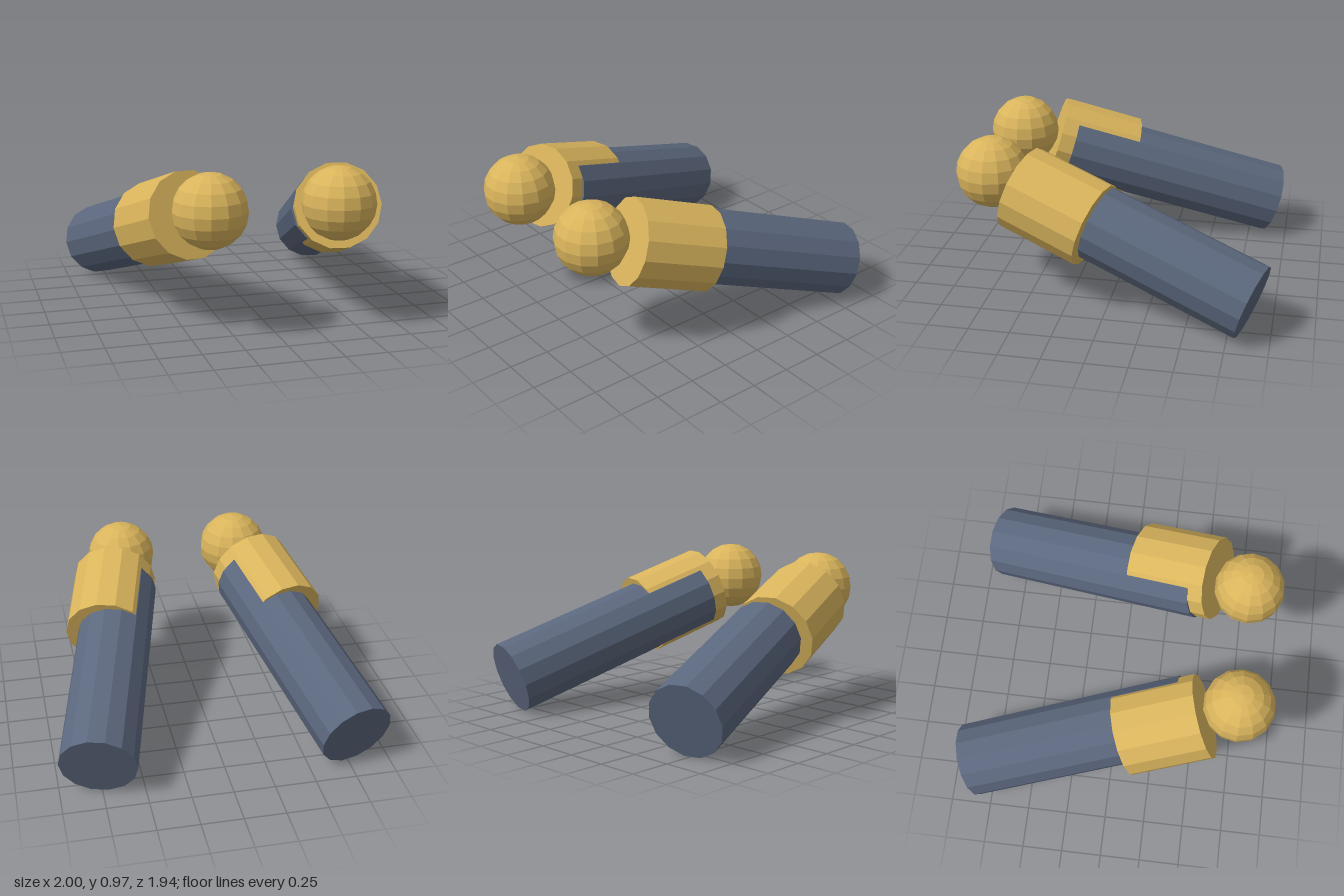
import * as THREE from 'three';

const gold = new THREE.MeshStandardMaterial({ color: 0xd9b45c });
gold.name = 'warm gold';
gold.flatShading = true;
const slate = new THREE.MeshStandardMaterial({ color: 0x5b677d });
slate.name = 'slate blue';
slate.flatShading = true;

const SIDES = 14;

// Capped cylinder between two points
function rod(name, from, to, radius, material) {
  const dir = to.clone().sub(from);
  const mesh = new THREE.Mesh(new THREE.CylinderGeometry(radius, radius, dir.length(), SIDES), material);
  mesh.name = name;
  mesh.position.copy(from).add(to).multiplyScalar(0.5);
  mesh.quaternion.setFromUnitVectors(new THREE.Vector3(0, 1, 0), dir.normalize());
  return mesh;
}

// One forearm; side is +1 for left, -1 for right
function createArm(side) {
  const arm = new THREE.Group();
  arm.name = side > 0 ? 'leftArm' : 'rightArm';

  // Point on the sleeve axis at depth z, shifted outward by dx
  const axis = (z, dx = 0) => new THREE.Vector3(
    side * (0.775 - 0.255 * (z + 0.885) + dx),
    0.22 + 0.33 * (z + 0.885),
    z
  );

  arm.add(rod('sleeve', axis(-0.885), axis(0.45), 0.231, slate));
  // The cuff sits slightly outward, so the sleeve shows along its inner side
  arm.add(rod('cuff', axis(0.075, 0.046), axis(0.55, 0.046), 0.263, gold));

  const hand = new THREE.Mesh(new THREE.SphereGeometry(0.22, SIDES, 10), gold);
  hand.name = 'hand';
  hand.position.set(side * 0.385, 0.755, 0.748);
  arm.add(hand);
  return arm;
}

export function createModel() {
  const model = new THREE.Group();
  model.name = 'pairOfArms';
  for (const side of [1, -1]) model.add(createArm(side));
  return model;
}
